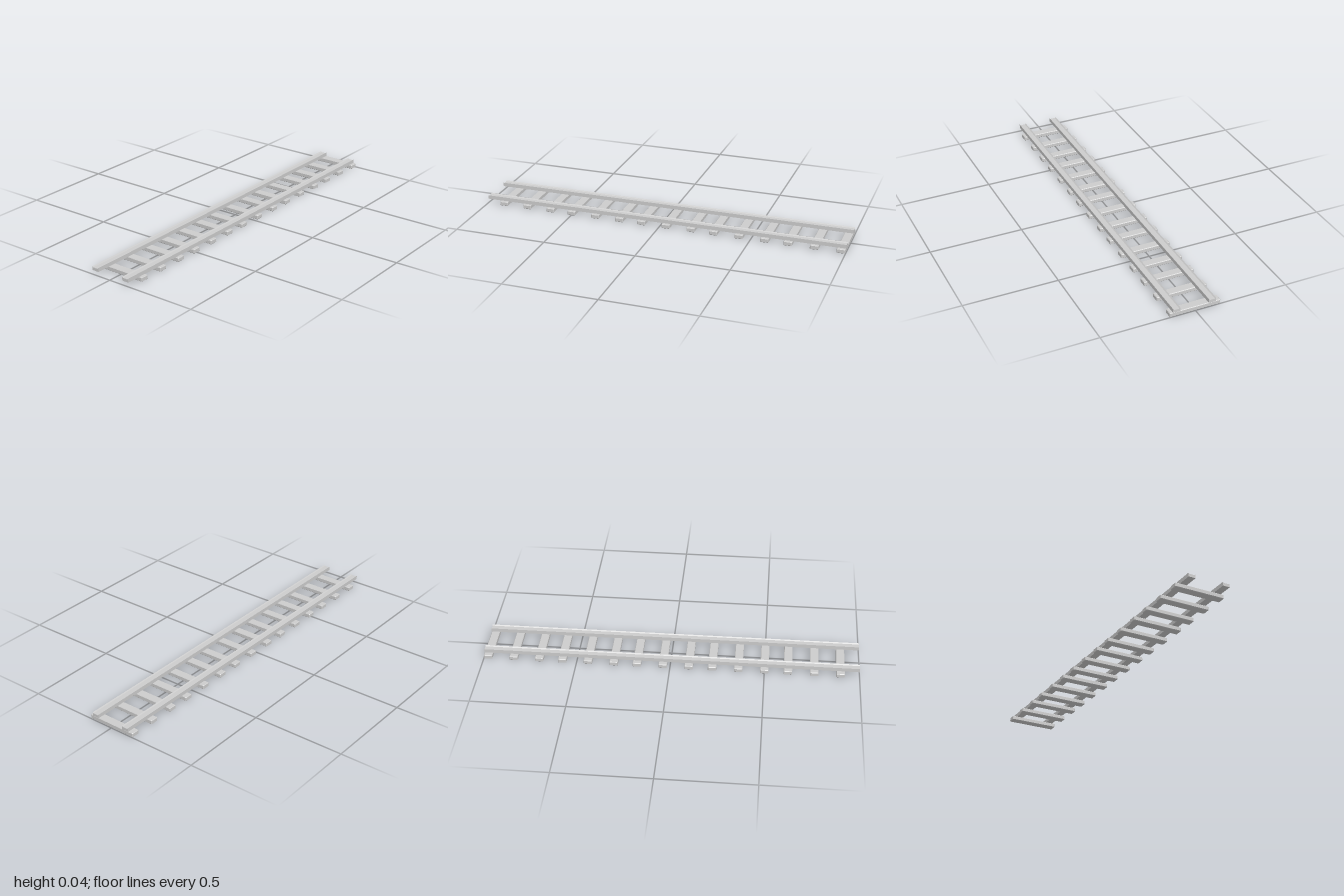
import * as THREE from 'three';

const material = new THREE.MeshStandardMaterial({ color: 0xcccccc, flatShading: true });

function polygon(points) {
  return new THREE.Shape(points.map(([x, y]) => new THREE.Vector2(x, y)));
}

// Sleeper: a flat beam with chamfered corners and edges
function sleeperGeometry(width, height, length, chamfer) {
  const w = width / 2 - chamfer, l = length / 2 - chamfer, c = chamfer * 0.6;
  const plan = polygon([
    [-w + c, -l], [w - c, -l], [w, -l + c], [w, l - c],
    [w - c, l], [-w + c, l], [-w, l - c], [-w, -l + c],
  ]);
  const geometry = new THREE.ExtrudeGeometry(plan, {
    depth: height - 2 * chamfer, bevelEnabled: true, bevelSegments: 1,
    bevelSize: chamfer, bevelThickness: chamfer,
  });
  return geometry.rotateX(-Math.PI / 2).translate(0, chamfer, 0);
}

// Rail: a flat bar with a raised lip along each edge
function railGeometry(width, bottom, floor, top, length) {
  const w = width / 2, lip = 0.005;
  const section = polygon([
    [-w, bottom], [w, bottom], [w, top], [w - lip, floor], [-w + lip, floor], [-w, top],
  ]);
  const geometry = new THREE.ExtrudeGeometry(section, { depth: length, bevelEnabled: false });
  return geometry.translate(0, 0, -length / 2).rotateY(Math.PI / 2);
}

export function createModel() {
  const track = new THREE.Group();
  track.name = 'railTrack';

  // Two parallel rails
  const rail = railGeometry(0.038, 0.0225, 0.038, 0.043, 2);
  for (const [name, z] of [['frontRail', 0.101], ['backRail', -0.091]]) {
    const mesh = new THREE.Mesh(rail, material);
    mesh.name = name;
    mesh.position.z = z;
    track.add(mesh);
  }

  // Five repeats of three sleepers
  const sleeper = sleeperGeometry(0.045, 0.023, 0.274, 0.003);
  for (let section = 0; section < 5; section++) {
    for (let i = 0; i < 3; i++) {
      const mesh = new THREE.Mesh(sleeper, material);
      mesh.name = `sleeper${section * 3 + i + 1}`;
      mesh.position.x = -0.9 + section * 0.4 + i * 0.138;
      track.add(mesh);
    }
  }
  return track;
}
